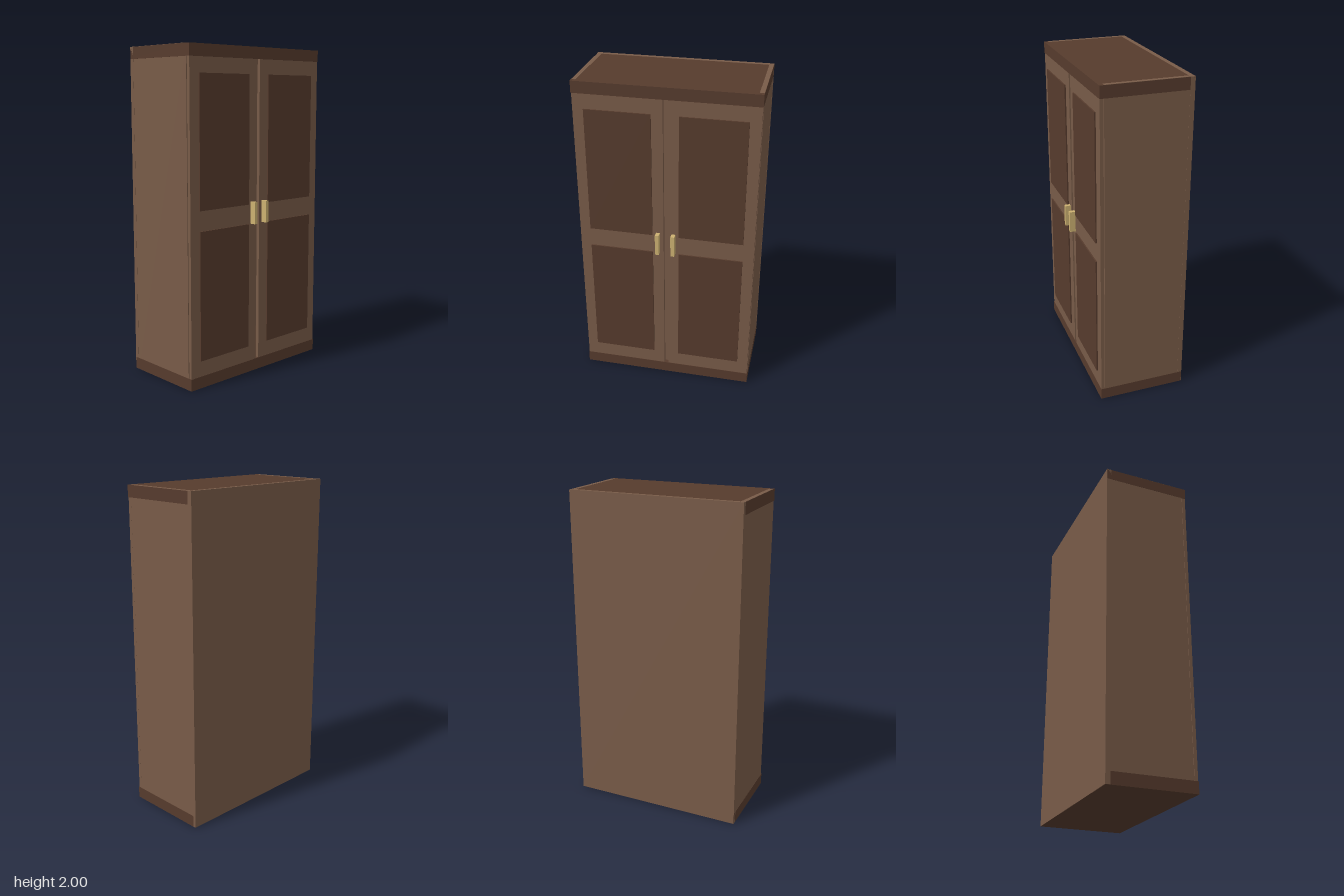
import * as THREE from 'three';

const mat = (name, color) => {
  const m = new THREE.MeshStandardMaterial({ color });
  m.name = name;
  return m;
};

export function createModel() {
  const root = new THREE.Group();
  root.name = 'wardrobe';
  const wood = mat('brown wood', 0x785b48);
  const dark = mat('dark wood', 0x563b2d);
  const brass = mat('brass', 0xcdb171);

  // Box given by its extents on each axis
  const slab = (name, material, [x0, x1], [y0, y1], [z0, z1]) => {
    const g = new THREE.BoxGeometry(x1 - x0, y1 - y0, z1 - z0);
    g.translate((x0 + x1) / 2, (y0 + y1) / 2, (z0 + z1) / 2);
    const m = new THREE.Mesh(g, material);
    m.name = name;
    root.add(m);
  };
  // Extents mirrored to the chosen side
  const side = (s, a, b) => (s > 0 ? [a, b] : [-b, -a]);

  const W = 0.543, BACK = -0.288, FRONT = 0.254, T = 0.072;

  // Carcass: back board, centre divider, plinth and cornice
  slab('backBoard', wood, [-W, W], [0.001, 2], [BACK, -0.26]);
  slab('centreDivider', wood, [-0.014, 0.014], [T, 2 - T], [-0.26, 0.228]);
  slab('plinth', dark, [-W, W], [0, T], [BACK + 0.001, FRONT]);
  slab('cornice', dark, [-W, W], [2 - T, 1.999], [BACK + 0.001, FRONT]);

  for (const s of [1, -1]) {
    const label = s > 0 ? 'left' : 'right';
    slab(label + 'SideBoard', wood, side(s, 0.515, W - 0.001), [0.001, 2], [-0.26, 0.228]);
    // Door with two raised panels and a pull
    slab(label + 'Door', wood, side(s, 0.013, 0.54), [T, 2 - T], [0.231, 0.252]);
    for (const [name, y] of [['LowerPanel', [0.168, 0.94]], ['UpperPanel', [1.06, 1.838]]])
      slab(label + name, dark, side(s, 0.081, 0.474), y, [0.25, 0.26]);
    slab(label + 'Handle', brass, side(s, 0.036, 0.06), [0.94, 1.075], [0.252, 0.288]);
  }
  return root;
}
